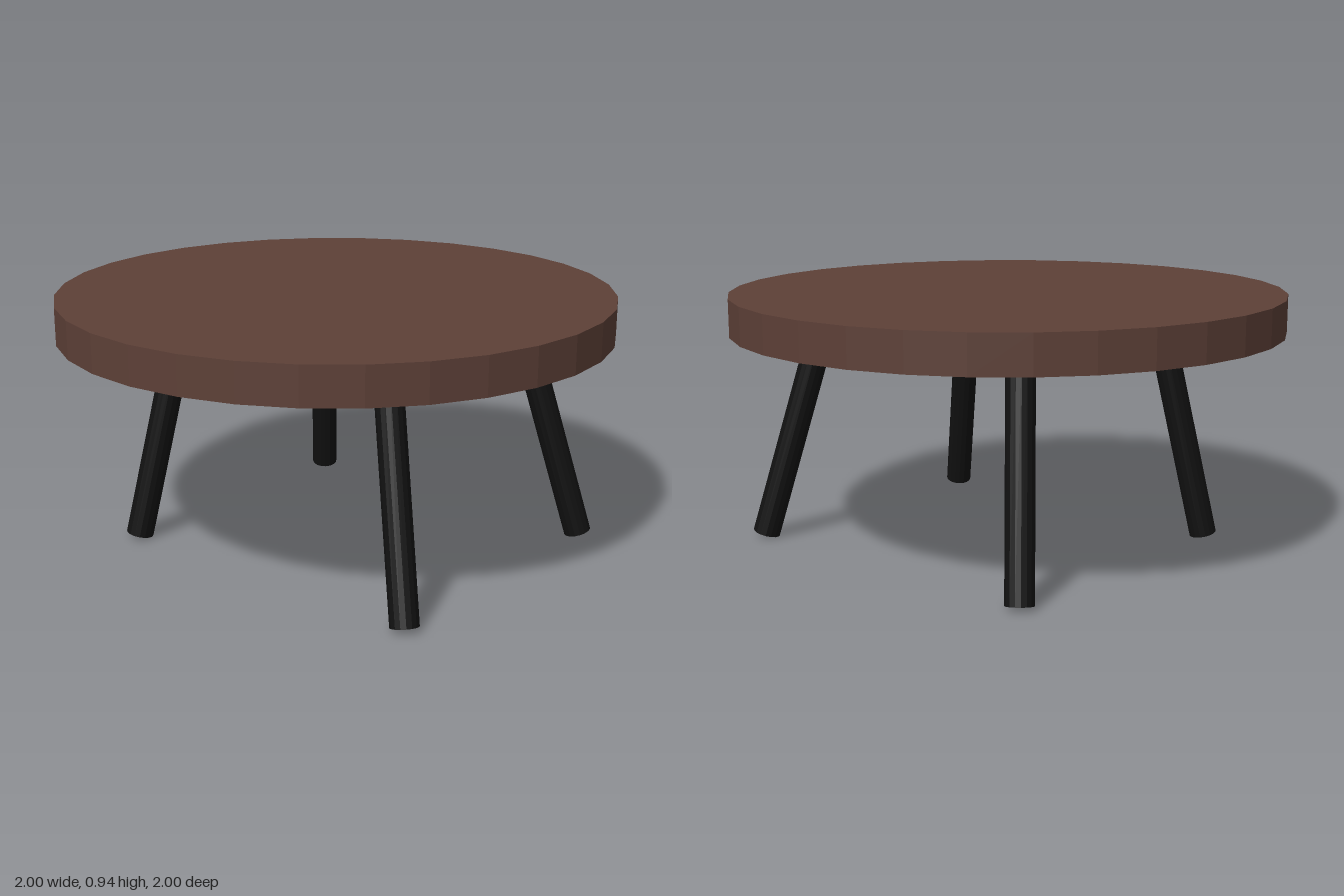
import * as THREE from 'three';

const TOP_Y = 0.935, UNDER_Y = 0.8, LEG_R = 0.05;

export function createModel() {
  const wood = new THREE.MeshStandardMaterial({ color: 0x5d4037, flatShading: true });
  wood.name = 'brown wood';
  const black = new THREE.MeshStandardMaterial({ color: 0x111111, flatShading: true });
  black.name = 'black';

  const group = new THREE.Group();
  group.name = 'roundTable';

  // Round faceted slab
  const top = new THREE.Mesh(new THREE.CylinderGeometry(1, 1, TOP_Y - UNDER_Y, 32), wood);
  top.name = 'tabletop';
  top.position.y = (TOP_Y + UNDER_Y) / 2;
  group.add(top);

  // Splayed legs: foot centre to the point where the leg meets the slab
  const legs = [
    ['frontLeftLeg', [0.57, 0.012, 0.71], [0.425, UNDER_Y, 0.525]],
    ['frontRightLeg', [-0.5, 0.012, 0.71], [-0.365, UNDER_Y, 0.525]],
    ['backLeftLeg', [0.57, 0.01, -0.54], [0.425, UNDER_Y, -0.42]],
    ['backRightLeg', [-0.5, 0.01, -0.54], [-0.365, UNDER_Y, -0.42]],
  ];
  const up = new THREE.Vector3(0, 1, 0);
  for (const [name, foot, joint] of legs) {
    const a = new THREE.Vector3(...foot);
    // Run a little way into the slab so the end is hidden
    const b = new THREE.Vector3(...joint).sub(a).multiplyScalar(1.05).add(a);
    const axis = b.clone().sub(a);
    const leg = new THREE.Mesh(new THREE.CylinderGeometry(LEG_R, LEG_R, axis.length(), 16), black);
    leg.name = name;
    leg.position.copy(a).add(b).multiplyScalar(0.5);
    leg.quaternion.setFromUnitVectors(up, axis.normalize());
    group.add(leg);
  }
  return group;
}
